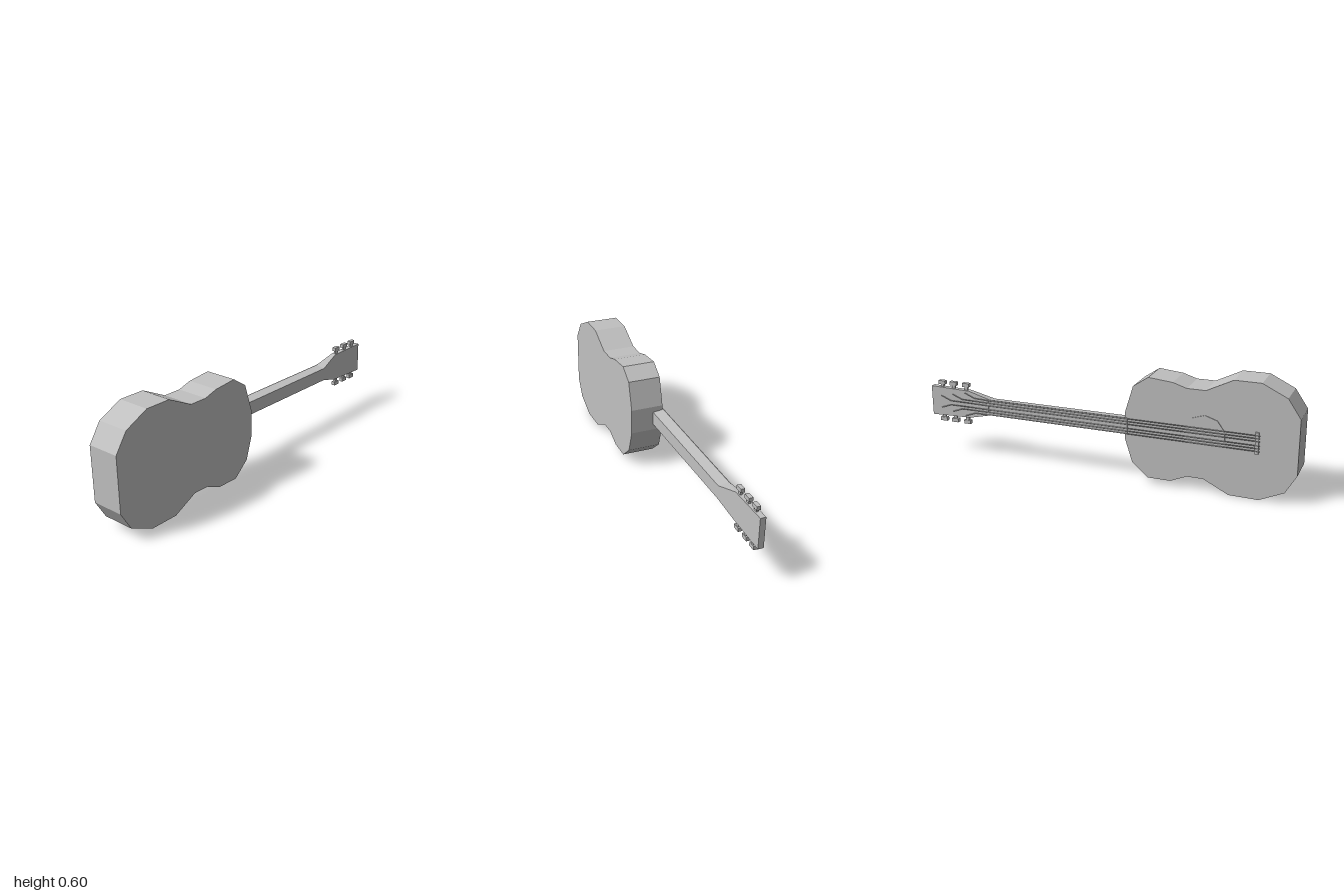
import * as THREE from 'three';

const grey = new THREE.MeshStandardMaterial({ color: 0xc0c0c0 });
grey.name = 'plain grey';

export function createModel() {
  const model = new THREE.Group();
  model.name = 'guitar';

  // Faceted mesh with hard edges
  const add = (name, geometry, x = 0, y = 0, z = 0) => {
    const flat = geometry.index ? geometry.toNonIndexed() : geometry;
    flat.computeVertexNormals();
    const mesh = new THREE.Mesh(flat, grey);
    mesh.name = name;
    mesh.position.set(x, y, z);
    model.add(mesh);
    return mesh;
  };

  // Hollow-body block: waisted outline, soundboard towards -z
  const outline = [
    [-1, 0.143], [-0.935, 0.238], [-0.81, 0.299], [-0.675, 0.299], [-0.54, 0.232],
    [-0.445, 0.232], [-0.373, 0.254], [-0.247, 0.266], [-0.168, 0.212], [-0.125, 0.067],
    [-0.125, -0.067], [-0.165, -0.191], [-0.25, -0.264], [-0.37, -0.264], [-0.455, -0.227],
    [-0.54, -0.227], [-0.67, -0.292], [-0.82, -0.294], [-0.945, -0.237], [-1, -0.142],
  ].map(([x, y]) => new THREE.Vector2(x, y));
  const body = new THREE.ExtrudeGeometry(new THREE.Shape(outline), { depth: 0.173, bevelEnabled: false });
  add('body', body, 0, 0, -0.0745);

  // Neck and headstock: lofted trapezoids [x, front half width, back half width, front z, back z]
  const sections = [
    [-0.14, 0.043, 0.035, -0.079, -0.022],
    [0.64, 0.043, 0.035, -0.079, -0.025],
    [0.77, 0.075, 0.075, -0.072, -0.045],
    [1, 0.081, 0.081, -0.073, -0.044],
  ];
  const loft = (name, parts) => {
    const rings = parts.map(([x, f, b, zf, zb]) => [[x, -f, zf], [x, f, zf], [x, b, zb], [x, -b, zb]]);
    const positions = [];
    const quad = (a, b, c, d) => [a, b, c, a, c, d].forEach((p) => positions.push(...p));
    for (let i = 0; i < rings.length - 1; i++) {
      for (let j = 0; j < 4; j++) {
        const k = (j + 1) % 4;
        quad(rings[i][j], rings[i][k], rings[i + 1][k], rings[i + 1][j]);
      }
    }
    const first = rings[0], last = rings[rings.length - 1];
    quad(first[3], first[2], first[1], first[0]);
    quad(last[0], last[1], last[2], last[3]);
    const geometry = new THREE.BufferGeometry();
    geometry.setAttribute('position', new THREE.Float32BufferAttribute(positions, 3));
    return add(name, geometry);
  };
  loft('neck', sections.slice(0, 2));
  loft('headstock', sections.slice(1));

  // Sound hole plate, bridge and nut
  add('soundHole', new THREE.CylinderGeometry(0.107, 0.107, 0.006, 10).rotateX(Math.PI / 2), -0.54, 0, -0.0755);
  add('bridge', new THREE.BoxGeometry(0.018, 0.11, 0.01), -0.8, 0, -0.0785);
  add('nut', new THREE.BoxGeometry(0.012, 0.088, 0.008), 0.655, 0, -0.078);

  // Tuning pegs on both edges of the headstock
  const pegXs = [0.793, 0.87, 0.94];
  for (const side of [-1, 1]) {
    for (const x of pegXs) {
      add('pegShaft', new THREE.BoxGeometry(0.018, 0.034, 0.012), x, side * 0.081, -0.057);
      add('pegKnob', new THREE.BoxGeometry(0.04, 0.02, 0.021), x, side * 0.104, -0.057);
    }
  }

  // Strings: straight along the neck, bending out to the pegs
  const rod = (name, from, to) => {
    const a = new THREE.Vector3(...from), b = new THREE.Vector3(...to);
    const dir = b.clone().sub(a);
    const geometry = new THREE.CylinderGeometry(0.0022, 0.0022, dir.length(), 4);
    const mid = a.add(b).multiplyScalar(0.5);
    const mesh = add(name, geometry, mid.x, mid.y, mid.z);
    mesh.quaternion.setFromUnitVectors(new THREE.Vector3(0, 1, 0), dir.normalize());
  };
  for (const side of [-1, 1]) {
    pegXs.forEach((x, i) => {
      const y = side * (0.04 - i * 0.0145);
      const bendY = y * 1.05;
      rod('string', [-0.815, y, -0.0825], [0.655, y, -0.0825]);
      rod('string', [0.655, y, -0.0825], [x - 0.06, bendY, -0.08]);
      rod('string', [x - 0.06, bendY, -0.08], [x, bendY + side * 0.022, -0.077]);
    });
  }

  // The whole instrument leans very slightly
  model.rotation.set(-0.016, -0.02, 0);
  model.position.y = 0.297;
  const root = new THREE.Group();
  root.name = 'acousticGuitar';
  root.add(model);
  return root;
}
